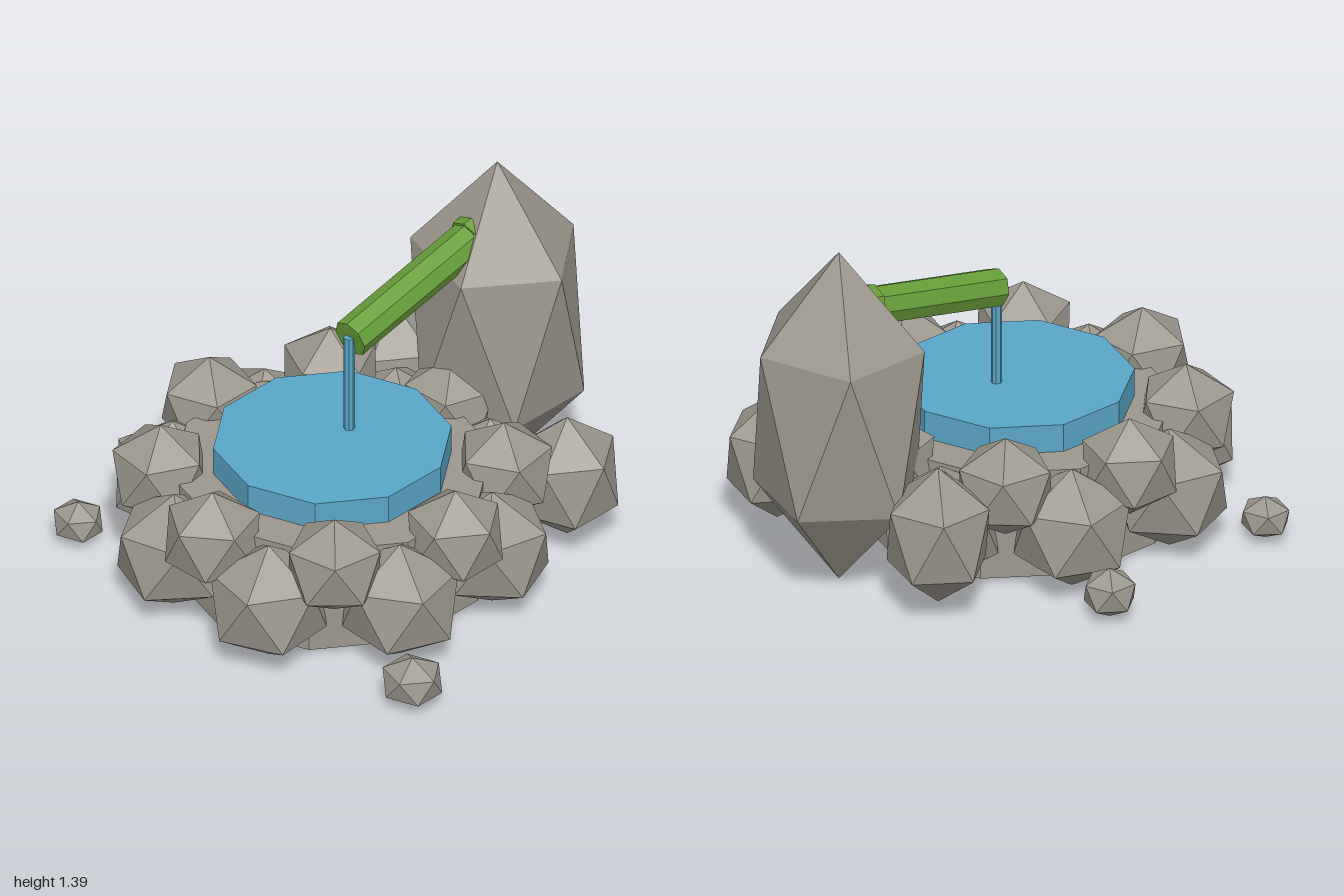
import * as THREE from 'three';

export function createModel() {
  const model = new THREE.Group();
  model.name = 'rockFountain';

  const material = (name, color) => {
    const m = new THREE.MeshStandardMaterial({ color, flatShading: true });
    m.name = name;
    return m;
  };
  const stone = material('stone', 0x9c988e);
  const water = material('water', 0x5aa6c8);
  const bamboo = material('bamboo', 0x689f3a);

  function add(name, geometry, mat, x, y, z, parent = model) {
    const mesh = new THREE.Mesh(geometry, mat);
    mesh.name = name;
    mesh.position.set(x, y, z);
    parent.add(mesh);
    return mesh;
  }

  // Rock: icosahedron standing on a corner, one upper corner facing local +z
  const rockGeometry = new THREE.IcosahedronGeometry(1, 0);
  rockGeometry.rotateX(-Math.atan2(1 + Math.sqrt(5), 2));
  function addRock(name, [x, y, z], [rx, ry, rz], turn, parent) {
    const rock = add(name, rockGeometry, stone, x, y, z, parent);
    rock.rotation.y = turn;
    rock.scale.set(rx, ry, rz);
    return rock;
  }

  // Basin with its pool
  const centreZ = 0.18;
  add('basin', new THREE.CylinderGeometry(0.605, 0.605, 0.44, 10), stone, 0, 0.24, centreZ);
  add('pool', new THREE.CylinderGeometry(0.45, 0.45, 0.17, 10), water, 0, 0.487, centreZ);

  // Two staggered rings of rocks around the basin
  function addRing(name, radius, y, size, offset) {
    const ring = new THREE.Group();
    ring.name = name;
    for (let i = 0; i < 8; i++) {
      const a = (i + offset) * Math.PI / 4;
      addRock('ringRock', [radius * Math.sin(a), y, centreZ + radius * Math.cos(a)],
        [size, size, size], a, ring);
    }
    model.add(ring);
  }
  addRing('lowerRocks', 0.64, 0.243, 0.243, 0.5);
  addRing('upperRocks', 0.64, 0.432, 0.2, 0);

  // Tall standing stone and the two rocks beside it
  const quarter = Math.PI / 2;
  addRock('standingStone', [0, 0.703, -0.7], [0.353, 0.683, 0.375], quarter);
  addRock('leftBackRock', [0.51, 0.29, -0.55], [0.217, 0.26, 0.213], quarter);
  addRock('rightBackRock', [-0.43, 0.33, -0.59], [0.217, 0.28, 0.22], quarter);

  // Loose pebbles
  addRock('pebble', [0.86, 0.105, 0.635], [0.123, 0.1, 0.127], quarter);
  addRock('pebble', [-0.88, 0.105, -0.135], [0.11, 0.1, 0.11], quarter);
  addRock('pebble', [-0.79, 0.09, 0.725], [0.1, 0.085, 0.105], quarter);

  // Sloping spout, set through the standing stone
  const spout = new THREE.Group();
  spout.name = 'spout';
  spout.position.set(0, 0.968, 0.085);
  spout.rotation.x = 0.218;
  const pipe = new THREE.CylinderGeometry(0.076, 0.076, 0.92, 8).rotateX(quarter);
  add('pipe', pipe, bamboo, 0, 0, -0.46, spout);
  const collar = new THREE.CylinderGeometry(0.086, 0.086, 0.04, 8).rotateX(quarter);
  add('collar', collar, bamboo, 0, 0, -0.66, spout);
  model.add(spout);

  // Falling water
  add('stream', new THREE.CylinderGeometry(0.021, 0.021, 0.42, 8), water, 0, 0.768, 0.09);

  return model;
}
